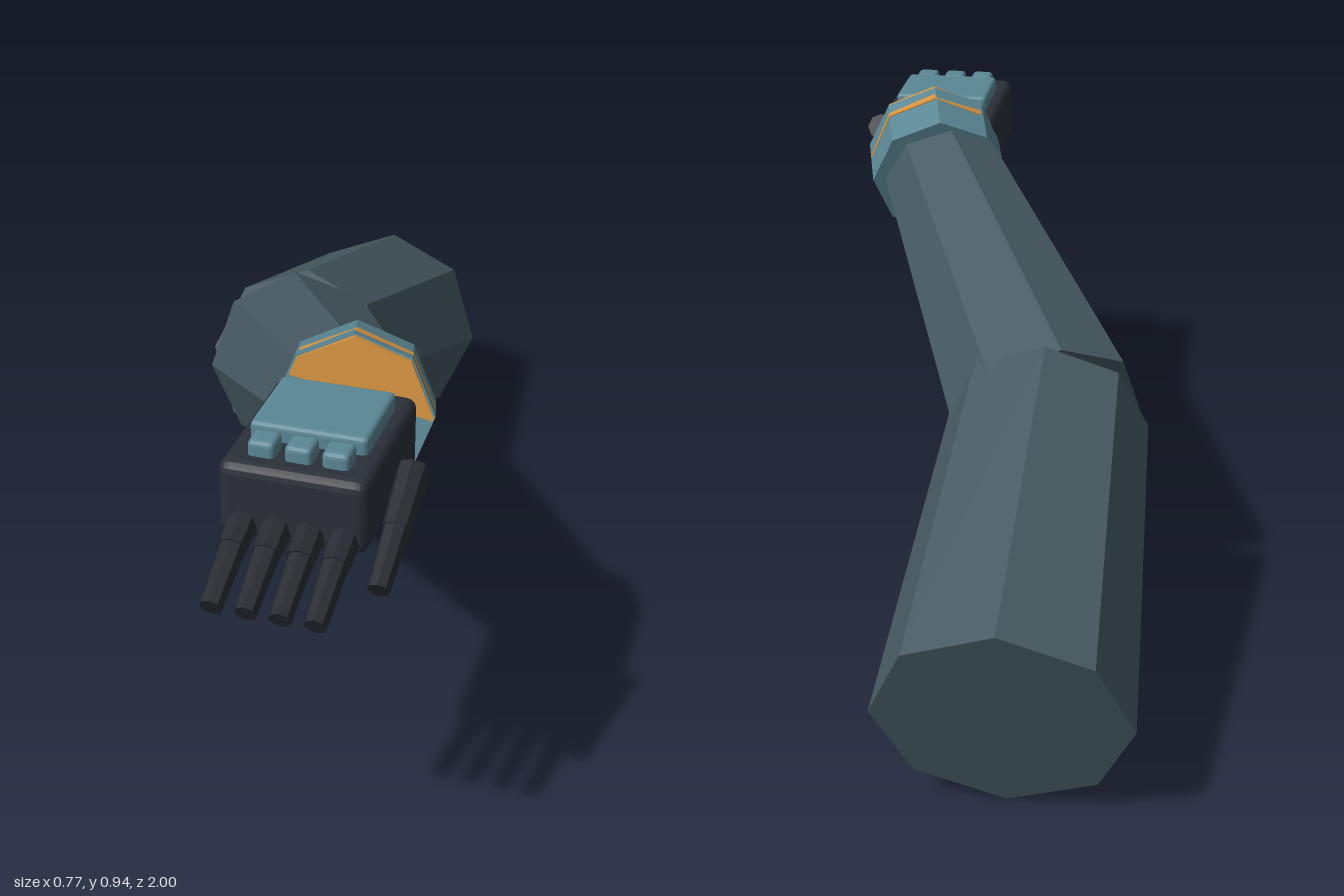
import * as THREE from 'three';
import { RoundedBoxGeometry } from 'three/addons/geometries/RoundedBoxGeometry.js';

const material = (name, color, flatShading = true) => {
  const m = new THREE.MeshStandardMaterial({ color, flatShading });
  m.name = name;
  return m;
};

export function createModel() {
  const slate = material('slate sleeve', 0x475a62);
  const teal = material('teal plating', 0x5b8795);
  const orange = material('orange trim', 0xd5923f);
  const charcoal = material('charcoal glove', 0x2b3038);
  const black = material('black fingers', 0x24282e);

  const group = new THREE.Group();
  group.name = 'armoredArm';

  // Tapered eight-sided limb running from point a to point b
  function limb(name, a, b, ra, rb, mat, parent = group) {
    const start = new THREE.Vector3(...a);
    const end = new THREE.Vector3(...b);
    const geometry = new THREE.CylinderGeometry(rb, ra, start.distanceTo(end), 8);
    geometry.rotateX(Math.PI / 2);
    const mesh = new THREE.Mesh(geometry, mat);
    mesh.name = name;
    mesh.position.copy(start).add(end).multiplyScalar(0.5);
    mesh.lookAt(end);
    parent.add(mesh);
    return mesh;
  }

  // Block with softened edges
  function block(name, size, position, radius, mat) {
    const mesh = new THREE.Mesh(new RoundedBoxGeometry(...size, 2, radius), mat);
    mesh.name = name;
    mesh.position.set(...position);
    group.add(mesh);
  }

  // Arm, bent at the elbow
  const elbow = [-0.15, 0.475, -0.23];
  limb('upperArm', [-0.15, 0.225, -0.92], elbow, 0.235, 0.2, slate);
  limb('forearm', elbow, [0.19, 0.78, 0.47], 0.195, 0.13, slate);

  // Wrist cuff and its trim ring
  limb('wristCuff', [0.17, 0.757, 0.39], [0.202, 0.798, 0.518], 0.148, 0.148, teal);
  limb('cuffTrim', [0.189, 0.785, 0.456], [0.201, 0.795, 0.514], 0.145, 0.145, orange);

  // Hand with back plate and knuckle guards
  block('hand', [0.26, 0.14, 0.32], [0.195, 0.79, 0.683], 0.02, charcoal);
  block('backPlate', [0.208, 0.045, 0.175], [0.195, 0.869, 0.663], 0.01, teal);
  for (let i = -1; i <= 1; i++) {
    block('knuckleGuard', [0.048, 0.042, 0.05], [0.195 + i * 0.065, 0.867, 0.782], 0.01, teal);
  }

  // Two-jointed digit
  function digit(name, x, base, joint, tip) {
    const g = new THREE.Group();
    g.name = name;
    group.add(g);
    limb('innerSegment', [x, ...base], [x, ...joint], 0.03, 0.026, black, g);
    limb('outerSegment', [x, ...joint], [x, ...tip], 0.024, 0.02, black, g);
  }
  for (let i = 0; i < 4; i++) {
    digit('finger', 0.107 + i * 0.0595, [0.765, 0.79], [0.726, 0.885], [0.677, 0.992]);
  }
  digit('thumb', 0.353, [0.788, 0.648], [0.731, 0.757], [0.676, 0.862]);

  return group;
}
